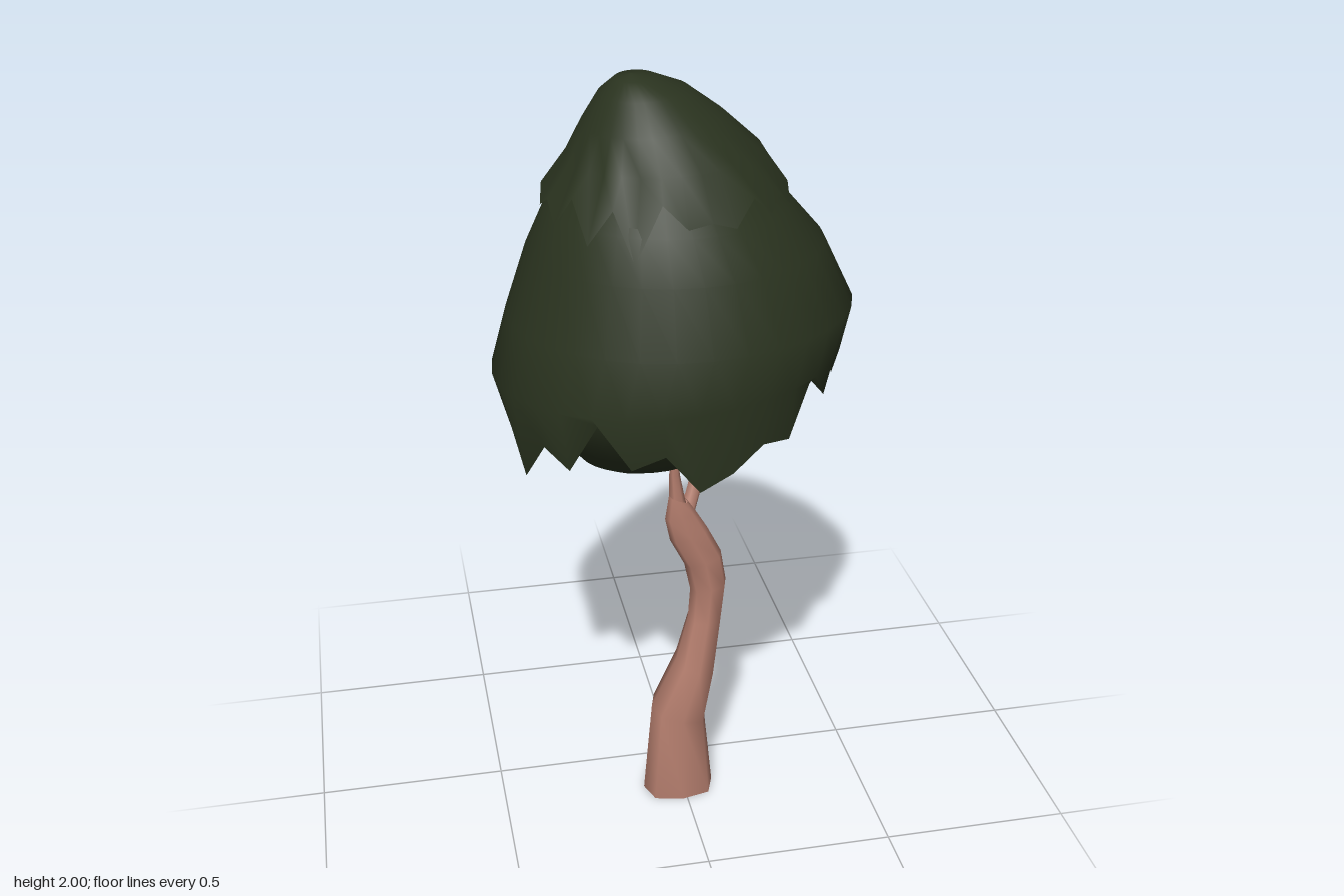
import * as THREE from 'three';

const green = new THREE.MeshStandardMaterial({ color: 0x2a331f, side: THREE.DoubleSide });
green.name = 'dark leaf green';
const bark = new THREE.MeshStandardMaterial({ color: 0xb37d6d, side: THREE.DoubleSide });
bark.name = 'warm bark';

// Each ring, from top to bottom: [left x, left y, right x, right y, front z, back z].
// hem: one height per side for the last ring; flare: how far low hem tips swing outward;
// power: below 1 makes the rings squarer.
function loft(name, material, rings, sides, { hem, flare = 0, power = 1 } = {}) {
  const pos = [], index = [];
  const shape = (v) => Math.sign(v) * Math.abs(v) ** power;
  rings.forEach(([lx, ly, rx, ry, zf, zb], i) => {
    const ragged = hem && i === rings.length - 1;
    for (let k = 0; k < sides; k++) {
      const a = (k / sides) * Math.PI * 2;
      const c = shape(Math.cos(a)), s = shape(Math.sin(a));
      const level = ly + (ry - ly) * (c + 1) / 2;
      const y = ragged ? hem[k] : level;
      const swing = 1 + flare * Math.max(0, level - y);
      pos.push(
        (lx + rx) / 2 + ((rx - lx) / 2) * c * swing,
        y,
        (zf + zb) / 2 + ((zf - zb) / 2) * s * swing,
      );
      if (i > 0) {
        const n = (k + 1) % sides, up = (i - 1) * sides, dn = i * sides;
        index.push(up + k, up + n, dn + k, up + n, dn + n, dn + k);
      }
    }
  });
  const g = new THREE.BufferGeometry();
  g.setAttribute('position', new THREE.Float32BufferAttribute(pos, 3));
  g.setIndex(index);
  g.computeVertexNormals();
  const mesh = new THREE.Mesh(g, material);
  mesh.name = name;
  return mesh;
}

// Round limb through points [x, y, z, radius], top to bottom
function limb(name, points) {
  return loft(name, bark, points.map(([x, y, z, r]) => [x - r, y, x + r, y, z + r, z - r]), 6);
}

export function createModel() {
  const tree = new THREE.Group();
  tree.name = 'tree';

  // Crooked trunk, open at the base
  tree.add(loft('trunk', bark, [
    [-0.035, 0.92, 0.015, 0.90, 0.16, 0.115],
    [-0.045, 0.85, 0.035, 0.87, 0.165, 0.105],
    [-0.03, 0.78, 0.07, 0.81, 0.165, 0.088],
    [0.01, 0.70, 0.11, 0.73, 0.165, 0.075],
    [0.027, 0.62, 0.125, 0.64, 0.165, 0.072],
    [0.02, 0.53, 0.112, 0.53, 0.17, 0.075],
    [-0.015, 0.41, 0.088, 0.38, 0.205, 0.07],
    [-0.085, 0.27, 0.063, 0.23, 0.218, 0.07],
    [-0.11, 0, 0.085, 0, 0.227, 0.073],
  ], 8, { power: 0.72 }));

  // Forked branches reaching into the leaves
  tree.add(limb('leftFork', [
    [0.08, 1.1, 0.06, 0.012], [0.062, 0.99, 0.078, 0.016], [0.035, 0.91, 0.11, 0.02], [0.0, 0.83, 0.125, 0.03],
  ]));
  tree.add(limb('rightFork', [
    [-0.02, 1.1, 0.14, 0.011], [-0.02, 0.98, 0.136, 0.014], [-0.014, 0.91, 0.137, 0.021], [-0.005, 0.84, 0.135, 0.03],
  ]));

  // Rounded underside of the crown
  tree.add(loft('crownUnderside', green, [
    [-0.39, 1.36, 0.41, 1.40, 0.37, -0.37],
    [-0.40, 1.23, 0.39, 1.25, 0.36, -0.35],
    [-0.365, 1.13, 0.295, 1.13, 0.295, -0.27],
    [-0.29, 1.05, 0.19, 1.05, 0.21, -0.2],
    [-0.25, 1.0, 0.1, 1.0, 0.155, -0.145],
    [-0.17, 0.95, 0.0, 0.96, 0.065, -0.085],
    [-0.11, 0.945, -0.11, 0.945, 0, 0],
  ], 32));

  // Wide skirt of leaves with a ragged hem
  tree.add(loft('leafSkirt', green, [
    [-0.24, 1.80, 0.2, 1.80, 0.22, -0.21],
    [-0.32, 1.68, 0.30, 1.68, 0.305, -0.295],
    [-0.368, 1.57, 0.387, 1.58, 0.35, -0.355],
    [-0.425, 1.40, 0.465, 1.42, 0.405, -0.41],
    [-0.468, 1.25, 0.435, 1.31, 0.425, -0.418],
    [-0.44, 1.1, 0.415, 1.22, 0.415, -0.405],
  ], 32, {
    hem: [
      1.24, 1.21, 1.26, 1.22, 1.29, 1.16, 1.17, 1.11, 1.07, 1.17, 1.13, 1.24, 1.10, 1.14, 1.03, 1.13,
      1.19, 1.14, 1.12, 1.15, 1.12, 1.15, 1.13, 1.19, 1.13, 1.2, 1.13, 1.18, 1.14, 1.32, 1.22, 1.25,
    ],
  }));

  // Domed cap of leaves with its own ragged, flaring hem
  tree.add(loft('leafCap', green, [
    [-0.1, 2.0, -0.1, 2.0, 0, 0],
    [-0.14, 1.99, -0.04, 1.995, 0.065, -0.06],
    [-0.18, 1.955, 0.04, 1.965, 0.125, -0.12],
    [-0.225, 1.88, 0.13, 1.9, 0.185, -0.185],
    [-0.268, 1.80, 0.22, 1.82, 0.24, -0.235],
    [-0.325, 1.71, 0.285, 1.73, 0.295, -0.28],
  ], 32, {
    flare: 0.9,
    hem: [
      1.71, 1.73, 1.69, 1.73, 1.70, 1.75, 1.69, 1.71, 1.70, 1.76, 1.62, 1.74, 1.65, 1.75, 1.67, 1.72,
      1.69, 1.73, 1.70, 1.73, 1.67, 1.74, 1.66, 1.75, 1.67, 1.73, 1.66, 1.74, 1.71, 1.69, 1.73, 1.70,
    ],
  }));

  return tree;
}
